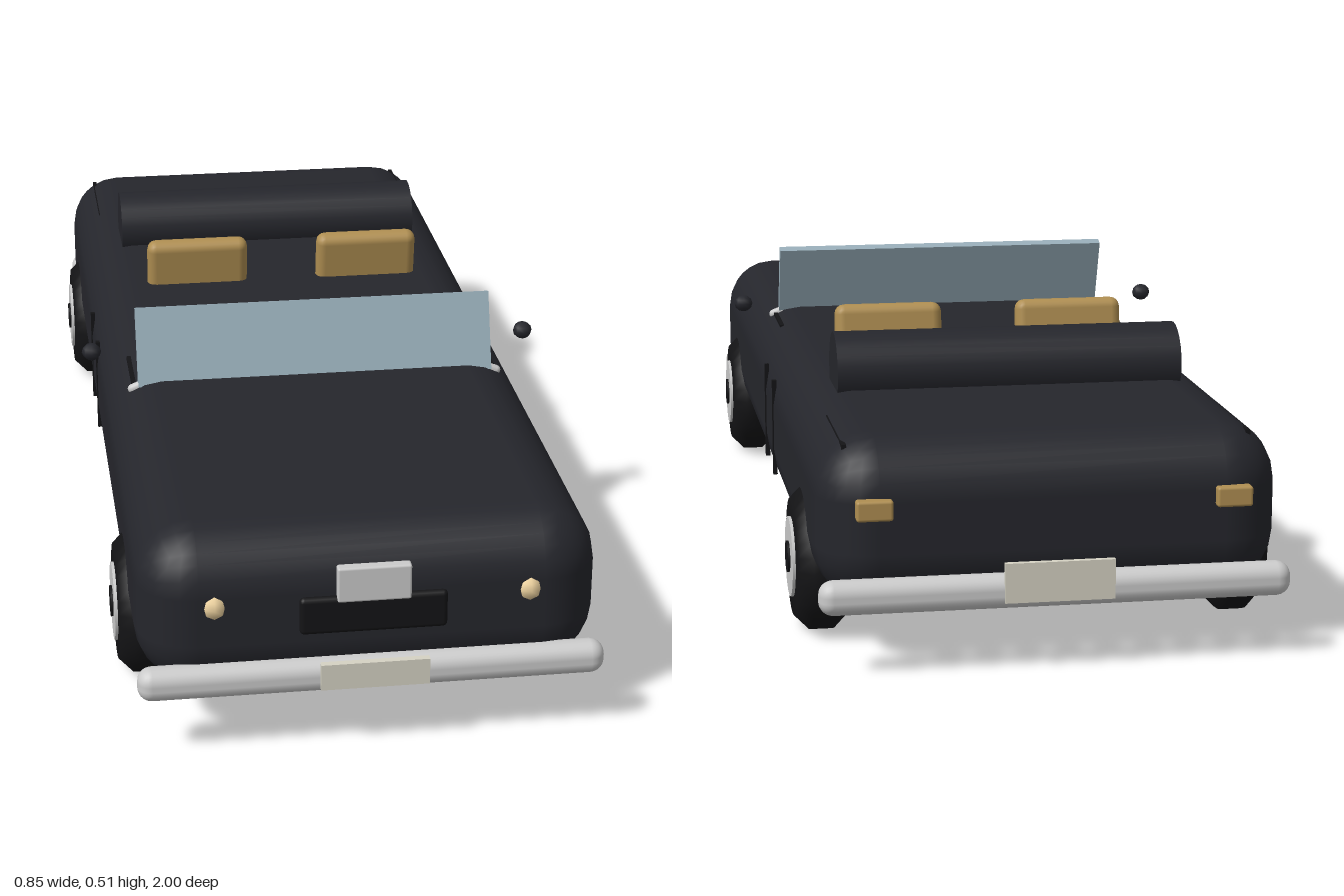
import * as THREE from 'three';
import { RoundedBoxGeometry } from 'three/addons/geometries/RoundedBoxGeometry.js';

const mat = (color) => new THREE.MeshStandardMaterial({ color });
const paint = mat(0x25262c), black = mat(0x141416), chrome = mat(0xdedee0), glass = mat(0x98aeb9);
const tan = mat(0xb08f52), cream = mat(0xeed3a0), plateColor = mat(0xd6d3c4);

export function createModel() {
  const car = new THREE.Group();
  car.name = 'convertible';

  const add = (name, geometry, material, x, y, z, parent = car) => {
    const mesh = new THREE.Mesh(geometry, material);
    mesh.name = name;
    mesh.position.set(x, y, z);
    parent.add(mesh);
    return mesh;
  };
  const box = (w, h, d) => new THREE.BoxGeometry(w, h, d);
  const rounded = (w, h, d, r, seg = 2) => new RoundedBoxGeometry(w, h, d, seg, r);

  // Body shell
  add('body', rounded(0.77, 0.285, 1.92, 0.1, 3), paint, 0, 0.2375, 0.005);

  // Bumpers and number plates
  add('frontBumper', rounded(0.776, 0.057, 0.05, 0.024, 3), chrome, 0, 0.134, 0.963);
  add('rearBumper', rounded(0.776, 0.057, 0.05, 0.024, 3), chrome, 0, 0.134, -0.97);
  add('frontPlate', box(0.18, 0.046, 0.012), plateColor, 0, 0.142, 0.99);
  add('rearPlate', box(0.18, 0.066, 0.01), plateColor, 0, 0.153, -0.995);

  // Grille and nose panel
  add('grille', rounded(0.244, 0.066, 0.02, 0.008), black, 0, 0.243, 0.965);
  add('nosePanel', rounded(0.122, 0.062, 0.02, 0.004), chrome, 0, 0.298, 0.967);

  // Raked windscreen
  const screen = add('windscreen', box(0.656, 0.145, 0.018), glass, 0, 0.437, 0.264);
  screen.rotation.x = -0.34;

  // Folded soft top
  const roof = add('foldedTop', new THREE.CylinderGeometry(0.067, 0.067, 0.61, 24), paint, 0, 0.406, -0.49);
  roof.rotation.z = Math.PI / 2;

  // Tyre section, revolved about the axle
  const tyre = new THREE.LatheGeometry([
    [0.055, -0.045], [0.1, -0.045], [0.125, -0.02], [0.125, 0.02], [0.1, 0.045], [0.055, 0.045],
  ].map(([r, y]) => new THREE.Vector2(r, y)), 28);
  const hub = new THREE.CylinderGeometry(0.068, 0.068, 0.1, 24);
  const cap = new THREE.CylinderGeometry(0.027, 0.027, 0.108, 16);

  for (const s of [-1, 1]) {
    const side = s > 0 ? 'left' : 'right';
    for (const [end, z] of [['Front', 0.655], ['Rear', -0.69]]) {
      const wheel = new THREE.Group();
      wheel.name = `${side}${end}Wheel`;
      wheel.position.set(s * 0.357, 0.127, z);
      wheel.rotation.z = Math.PI / 2;
      add('tyre', tyre, black, 0, 0, 0, wheel);
      add('hub', hub, chrome, 0, 0, 0, wheel);
      add('hubCap', cap, black, 0, 0, 0, wheel);
      car.add(wheel);
    }

    // Lamps
    const lamp = add(`${side}Headlight`, new THREE.SphereGeometry(0.024, 8, 6), cream, s * 0.26, 0.265, 0.952);
    lamp.scale.x = 0.9;
    add(`${side}TailLight`, rounded(0.06, 0.034, 0.024, 0.005), tan, s * 0.295, 0.272, -0.957);

    // Seat back
    const seat = add(`${side}Seat`, rounded(0.2, 0.15, 0.04, 0.018), tan, s * 0.17, 0.395, -0.214);
    seat.rotation.x = 0.14;

    // Mirror and windscreen foot
    const mirror = add(`${side}Mirror`, new THREE.SphereGeometry(0.018, 8, 6), paint, s * 0.407, 0.405, 0.195);
    mirror.scale.y = 0.9;
    const foot = add(`${side}ScreenFoot`, new THREE.CapsuleGeometry(0.009, 0.02, 4, 8), chrome, s * 0.329, 0.369, 0.285);
    foot.rotation.z = s * 1.2;

    // Door seams and cowl / rear deck trim strips
    for (const z of [-0.04, -0.193]) add(`${side}DoorSeam`, box(0.008, 0.18, 0.009), black, s * 0.383, 0.238, z);
    add(`${side}CowlTrim`, box(0.008, 0.008, 0.15), black, s * 0.335, 0.365, 0.215);
    add(`${side}DeckTrim`, box(0.008, 0.008, 0.22), black, s * 0.335, 0.361, -0.78);
  }
  return car;
}
